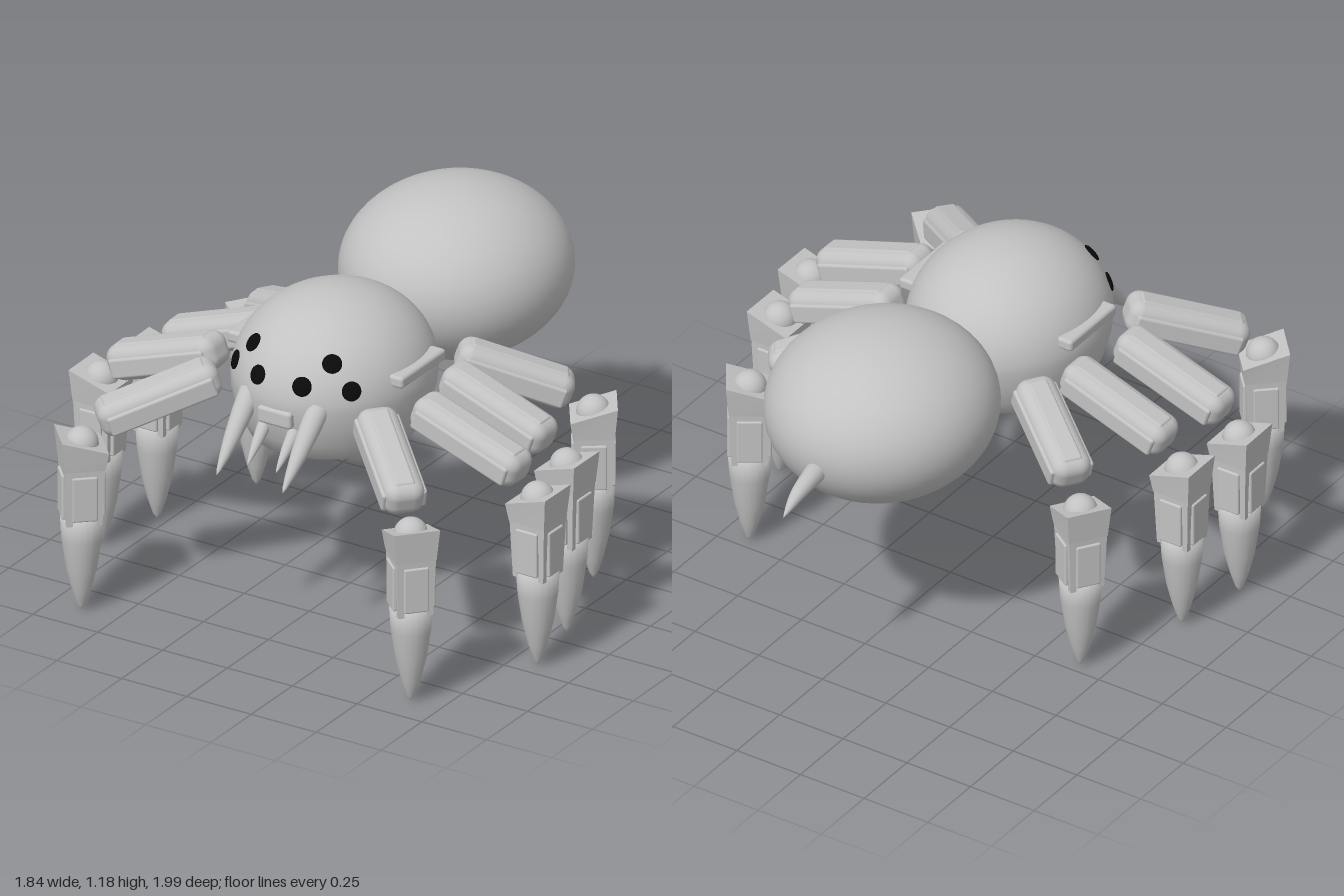
import * as THREE from 'three';
import { RoundedBoxGeometry } from 'three/addons/geometries/RoundedBoxGeometry.js';

const V = (x, y, z) => new THREE.Vector3(x, y, z);

export function createModel() {
  const model = new THREE.Group();
  model.name = 'spider';
  const shell = new THREE.MeshStandardMaterial({ color: 0xc2c2c2 });
  shell.name = 'grey shell';
  const black = new THREE.MeshStandardMaterial({ color: 0x0a0a0a });
  black.name = 'eye black';

  function add(parent, name, geometry, x = 0, y = 0, z = 0, material = shell) {
    const mesh = new THREE.Mesh(geometry, material);
    mesh.name = name;
    mesh.position.set(x, y, z);
    parent.add(mesh);
    return mesh;
  }

  // Bullet-shaped spike, tip at the origin and unit length upwards
  const spikeProfile = [[0, 0], [0.2, 0.06], [0.45, 0.22], [0.72, 0.45], [0.93, 0.75], [1, 1]]
    .map(([r, y]) => new THREE.Vector2(r, y));
  function spike(parent, name, base, tip, radius) {
    const axis = base.clone().sub(tip);
    const g = new THREE.LatheGeometry([...spikeProfile, new THREE.Vector2(0, 1.001)], 20);
    g.scale(radius, axis.length(), radius);
    const mesh = add(parent, name, g, tip.x, tip.y, tip.z);
    mesh.quaternion.setFromUnitVectors(V(0, 1, 0), axis.normalize());
    return mesh;
  }

  // Four-sided tapered block; slope raises the outer side of its top
  function taperedBlock(bottom, top, y0, y1, slope = 0) {
    const g = new THREE.BoxGeometry(1, 1, 1);
    const p = g.attributes.position;
    for (let i = 0; i < p.count; i++) {
      const up = p.getY(i) > 0;
      const w = up ? top : bottom;
      const lift = up ? Math.sign(p.getX(i)) * slope : 0;
      p.setXYZ(i, p.getX(i) * w, (up ? y1 : y0) + lift, p.getZ(i) * w);
    }
    g.computeVertexNormals();
    return g;
  }

  // Abdomen
  const abdomen = new THREE.SphereGeometry(1, 48, 32);
  abdomen.scale(0.38, 0.29, 0.405);
  add(model, 'abdomen', abdomen, 0, 0.89, -0.4);

  // Head: domed above, steeper sides and a flat belly below
  const headProfile = [[0, 0.6], [0.4, 0.601], [0.68, 0.61], [0.83, 0.63], [0.92, 0.69], [0.98, 0.76]]
    .map(([r, y]) => new THREE.Vector2(r, y));
  for (let i = 0; i <= 16; i++) {
    const a = (i / 16) * Math.PI / 2;
    headProfile.push(new THREE.Vector2(Math.cos(a), 0.82 + 0.29 * Math.sin(a)));
  }
  const head = new THREE.LatheGeometry(headProfile, 48);
  head.scale(0.33, 1, 0.365);
  add(model, 'head', head, 0, 0, 0.345);

  // Eyes: flattened discs lying on the head's surface
  const eyeGeometry = new THREE.SphereGeometry(0.033, 20, 12);
  eyeGeometry.scale(1, 1, 0.28);
  for (const side of [-1, 1]) {
    for (const [ex, ey] of [[0.085, 0.91], [0.152, 0.978], [0.224, 0.895]]) {
      const u = ex / 0.33, v = (ey - 0.82) / 0.29;
      const w = Math.sqrt(1 - u * u - v * v);
      const eye = add(model, 'eye', eyeGeometry, side * ex, ey, 0.345 + 0.365 * w, black);
      const normal = V(side * u / 0.33, v / 0.29, w / 0.365).normalize();
      eye.quaternion.setFromUnitVectors(V(0, 0, 1), normal);
    }
    // Fangs and side ledges
    spike(model, 'largeFang', V(side * 0.13, 0.83, 0.65), V(side * 0.127, 0.61, 0.865), 0.038);
    spike(model, 'smallFang', V(side * 0.058, 0.76, 0.66), V(side * 0.055, 0.635, 0.79), 0.024);
    add(model, 'sideLedge', new RoundedBoxGeometry(0.06, 0.042, 0.27, 2, 0.012), side * 0.31, 0.898, 0.335);
  }
  add(model, 'mouthPlate', new RoundedBoxGeometry(0.13, 0.06, 0.06, 2, 0.012), 0, 0.79, 0.69);

  // Tail stinger: a tube narrowed along its curved path
  const tailPath = new THREE.CatmullRomCurve3(
    [V(0, 0.845, -0.76), V(-0.01, 0.842, -0.84), V(-0.014, 0.825, -0.92), V(-0.015, 0.782, -1)]);
  const rings = 16, around = 14;
  const tail = new THREE.TubeGeometry(tailPath, rings, 0.038, around);
  const tp = tail.attributes.position;
  for (let i = 0; i < tp.count; i++) {
    const t = Math.floor(i / (around + 1)) / rings;
    const c = tailPath.getPointAt(t);
    const k = 1 - 0.45 * t - 0.53 * Math.pow(t, 4);
    const q = V(0, 0, 0).fromBufferAttribute(tp, i).sub(c).multiplyScalar(k).add(c);
    tp.setXYZ(i, q.x, q.y, q.z);
  }
  tail.computeVertexNormals();
  add(model, 'tailStinger', tail);

  // Legs: inner end, outer end and foot centre, each as x, z
  const legs = [
    ['front', [0.31, 0.59], [0.585, 0.838], [0.635, 0.885]],
    ['middleFront', [0.395, 0.435], [0.775, 0.44], [0.842, 0.437]],
    ['middleBack', [0.35, 0.19], [0.718, 0.193], [0.79, 0.178]],
    ['back', [0.295, 0.04], [0.585, -0.155], [0.65, -0.207]],
  ];
  for (const side of [-1, 1]) {
    for (const [name, inner, outer, footAt] of legs) {
      const leg = new THREE.Group();
      leg.name = name + (side > 0 ? 'LeftLeg' : 'RightLeg');
      model.add(leg);
      const dx = side * (outer[0] - inner[0]), dz = outer[1] - inner[1];
      const run = Math.hypot(dx, dz), drop = 0.13;
      const length = Math.hypot(run, drop) + 0.03;
      const yaw = Math.atan2(-dz, dx);

      // Upper leg bar with raised panels
      const bar = new THREE.Group();
      bar.name = 'upperLeg';
      bar.position.set(side * (inner[0] + outer[0]) / 2, 0.752, (inner[1] + outer[1]) / 2);
      bar.rotation.set(0, yaw, -Math.atan2(drop, run), 'YXZ');
      leg.add(bar);
      add(bar, 'legBar', new RoundedBoxGeometry(length, 0.122, 0.138, 4, 0.045));
      add(bar, 'sidePanels', new RoundedBoxGeometry(length * 0.88, 0.07, 0.154, 2, 0.01), 0, -0.008, 0);
      add(bar, 'topPanel', new RoundedBoxGeometry(length * 0.84, 0.13, 0.07, 2, 0.01));

      // Lower leg: ball joint, collar, tapered shin with panels, and claw
      const foot = new THREE.Group();
      foot.name = 'lowerLeg';
      foot.position.set(side * footAt[0], 0, footAt[1]);
      foot.rotation.y = yaw;
      leg.add(foot);
      add(foot, 'ballJoint', new THREE.SphereGeometry(0.057, 24, 16), 0, 0.605, 0);
      add(foot, 'collar', taperedBlock(0.136, 0.155, 0.53, 0.618, 0.024));
      add(foot, 'shin', taperedBlock(0.118, 0.134, 0.33, 0.54));
      for (let i = 0; i < 4; i++) {
        const panel = add(foot, 'shinPanel', new RoundedBoxGeometry(0.016, 0.16, 0.085, 2, 0.006), 0, 0.43, 0);
        panel.rotation.y = i * Math.PI / 2;
        panel.position.x = Math.cos(i * Math.PI / 2) * 0.065;
        panel.position.z = -Math.sin(i * Math.PI / 2) * 0.065;
      }
      spike(foot, 'claw', V(0, 0.35, 0), V(0, 0, 0), 0.072);
    }
  }
  return model;
}
